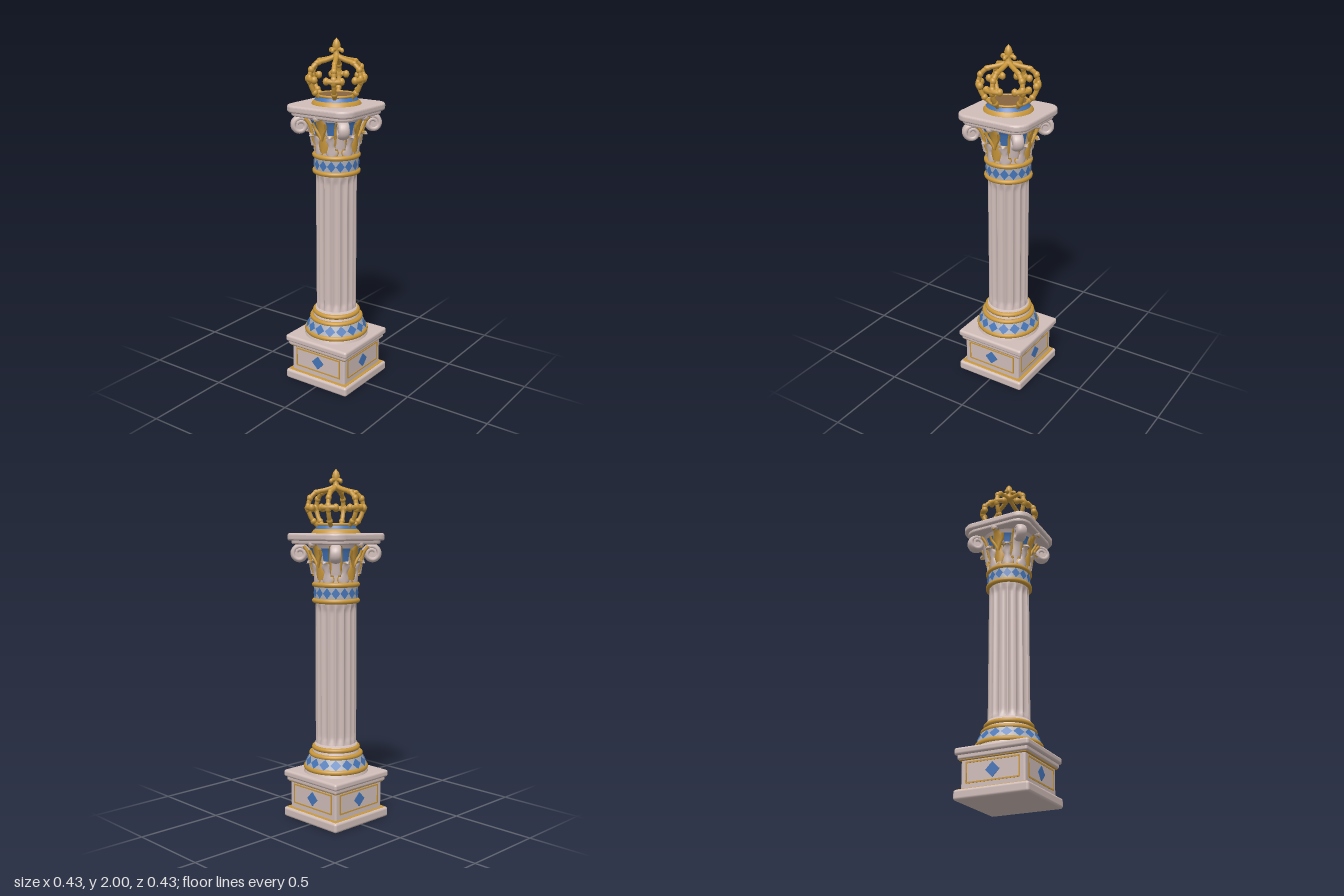
import * as THREE from 'three';
import { RoundedBoxGeometry } from 'three/addons/geometries/RoundedBoxGeometry.js';

const mat = (name, color, side = THREE.FrontSide) => {
  const m = new THREE.MeshStandardMaterial({ color, side });
  m.name = name;
  return m;
};
const V = (x, y, z = 0) => new THREE.Vector3(x, y, z);

export function createModel() {
  const stone = mat('stone', 0xd0bdb9, THREE.DoubleSide);
  const gold = mat('gold', 0xc9973a, THREE.DoubleSide);
  const blue = mat('blue enamel', 0x4475b8, THREE.DoubleSide);
  const pale = mat('pale blue enamel', 0xabaeb9);
  const brown = mat('dark bronze', 0x86643f);

  const root = new THREE.Group();
  root.name = 'column';
  const group = (name, parent = root) => {
    const g = new THREE.Group();
    g.name = name;
    parent.add(g);
    return g;
  };
  const add = (parent, name, geo, material, x = 0, y = 0, z = 0) => {
    const m = new THREE.Mesh(geo, material);
    m.name = name;
    m.position.set(x, y, z);
    parent.add(m);
    return m;
  };
  const around = (parent, name, n, offset, build) => {
    for (let i = 0; i < n; i++) {
      const g = group(name, parent);
      g.rotation.y = offset + (i / n) * Math.PI * 2;
      build(g);
    }
  };
  const lathe = (pts) => new THREE.LatheGeometry(pts.map((p) => new THREE.Vector2(...p)), 64);
  const ring = (parent, name, r, tube, y) => {
    add(parent, name, new THREE.TorusGeometry(r, tube, 12, 64), gold, 0, y).rotation.x = Math.PI / 2;
  };
  const slab = (parent, name, half, y0, y1, radius, material = stone) =>
    add(parent, name, new RoundedBoxGeometry(half * 2, y1 - y0, half * 2, 4, radius), material, 0, (y0 + y1) / 2);

  // Pedestal
  const pedestal = group('pedestal');
  slab(pedestal, 'plinthFoot', 0.217, 0, 0.057, 0.015);
  slab(pedestal, 'footGoldLine', 0.204, 0.045, 0.06, 0.004, gold);
  slab(pedestal, 'die', 0.187, 0.04, 0.235, 0.012);
  slab(pedestal, 'corniceGoldLine', 0.196, 0.211, 0.23, 0.005, gold);
  slab(pedestal, 'corniceStep', 0.204, 0.217, 0.25, 0.01);
  slab(pedestal, 'cornice', 0.217, 0.24, 0.28, 0.014);
  around(pedestal, 'pedestalPanel', 4, 0, (g) => {
    for (const s of [-1, 1]) {
      add(g, 'panelFrameSide', new THREE.BoxGeometry(0.008, 0.112, 0.006), gold, s * 0.153, 0.145, 0.187);
      add(g, 'panelFrameRail', new THREE.BoxGeometry(0.306, 0.008, 0.006), gold, 0, 0.145 + s * 0.054, 0.187);
    }
    add(g, 'panelDiamond', new THREE.CylinderGeometry(0.041, 0.041, 0.008, 4), blue, 0, 0.145, 0.187).rotation.x = Math.PI / 2;
  });

  // Band of enamel with a row of diamonds
  const enamelBand = (parent, r0, y0, r1, y1, n, w, h) => {
    add(parent, 'enamelBand', lathe([[r0, y0], [r1, y1]]), pale);
    around(parent, 'bandDiamond', n, 0, (g) => {
      const d = add(g, 'diamond', new THREE.CircleGeometry(1, 4), blue, 0, (y0 + y1) / 2, (r0 + r1) / 2 + 0.003);
      d.scale.set(w, h, 1);
      d.rotation.x = -Math.atan2(r0 - r1, y1 - y0);
    });
  };

  // Moulded base of the shaft
  const base = group('shaftBase');
  add(base, 'baseCore', lathe([[0.188, 0.275], [0.18, 0.3], [0.165, 0.33], [0.142, 0.38], [0.13, 0.41], [0.12, 0.45], [0, 0.45]]), stone);
  ring(base, 'lowerTorus', 0.17, 0.017, 0.308);
  enamelBand(base, 0.178, 0.32, 0.152, 0.378, 16, 0.031, 0.031);
  ring(base, 'middleTorus', 0.142, 0.014, 0.386);
  ring(base, 'neckTorus', 0.125, 0.014, 0.423);

  // Fluted shaft: grooves fade out near both ends
  const flutes = 16;
  const shaftGeo = new THREE.CylinderGeometry(0.115, 0.115, 0.83, flutes * 10, 40, true);
  const p = shaftGeo.attributes.position;
  for (let i = 0; i < p.count; i++) {
    const a = Math.atan2(p.getX(i), p.getZ(i));
    const groove = Math.pow(Math.abs(Math.sin((a * flutes) / 2)), 0.8);
    const fade = THREE.MathUtils.smoothstep(0.405 - Math.abs(p.getY(i)), 0, 0.04);
    const r = 0.117 - 0.014 * groove * fade;
    p.setX(i, Math.sin(a) * r);
    p.setZ(i, Math.cos(a) * r);
  }
  shaftGeo.computeVertexNormals();
  add(root, 'flutedShaft', shaftGeo, stone, 0, 0.85);

  // Collar between shaft and capital
  const collar = group('collar');
  ring(collar, 'lowerCollarRing', 0.122, 0.014, 1.27);
  enamelBand(collar, 0.124, 1.278, 0.124, 1.352, 16, 0.0245, 0.031);
  ring(collar, 'upperCollarRing', 0.122, 0.014, 1.361);

  // Capital
  const capital = group('capital');
  add(capital, 'bell', lathe([[0.112, 1.35], [0.113, 1.42], [0.12, 1.48], [0.135, 1.54], [0.165, 1.59]]), stone);
  around(capital, 'bellPanel', 8, Math.PI / 8, (g) => {
    const panel = new THREE.LatheGeometry(
      [[0.117, 1.44], [0.124, 1.48], [0.139, 1.54], [0.152, 1.565]].map((q) => new THREE.Vector2(...q)), 6, -0.17, 0.34);
    add(g, 'bluePanel', panel, blue);
  });

  // Leaf sheet following a radius/height profile, with lobed edges
  const leafGeometry = (curve, halfWidth, inset) => {
    const geo = new THREE.PlaneGeometry(2, 1, 8, 28);
    const pos = geo.attributes.position;
    for (let i = 0; i < pos.count; i++) {
      const u = pos.getX(i), v = pos.getY(i) + 0.5;
      const c = curve.getPoint(v);
      const outline = Math.sqrt(Math.max(0, 1 - v ** 6)) * (0.78 + 0.22 * Math.cos((v - 0.72) * 20));
      const a = (u * (halfWidth * outline + inset)) / c.x;
      const r = c.x + 0.01 * (1 - u * u) - inset;
      pos.setXYZ(i, Math.sin(a) * r, c.y, Math.cos(a) * r);
    }
    geo.computeVertexNormals();
    return geo;
  };
  const leafCurve = (profile) => new THREE.CatmullRomCurve3(profile.map((q) => V(...q)));
  const lowLeaf = leafCurve([[0.118, 1.37], [0.124, 1.43], [0.136, 1.475], [0.157, 1.495], [0.166, 1.48]]);
  const tallLeaf = leafCurve([[0.121, 1.39], [0.13, 1.47], [0.145, 1.54], [0.17, 1.585], [0.187, 1.59], [0.192, 1.57]]);
  const rib = (g, points, radius) =>
    add(g, 'goldRib', new THREE.TubeGeometry(new THREE.CatmullRomCurve3(points), 20, radius, 8), gold);
  const ball = new THREE.SphereGeometry(1, 18, 12);
  const blob = (parent, name, x, y, z, sx, sy, sz, material = gold) => {
    add(parent, name, ball, material, x, y, z).scale.set(sx, sy, sz);
  };
  around(capital, 'lowerLeaf', 8, Math.PI / 8, (g) => {
    add(g, 'leafFace', leafGeometry(lowLeaf, 0.034, 0), stone);
    add(g, 'leafGoldEdge', leafGeometry(lowLeaf, 0.034, 0.007), gold);
  });
  around(capital, 'faceLeaf', 4, 0, (g) => {
    add(g, 'goldLeaf', leafGeometry(tallLeaf, 0.034, 0), gold);
    blob(g, 'leafTip', 0, 1.588, 0.186, 0.022, 0.018, 0.016, stone);
    for (const s of [-1, 1]) {
      rib(g, [V(0, 1.46, 0.138), V(s * 0.018, 1.5, 0.146), V(s * 0.036, 1.53, 0.153), V(s * 0.042, 1.555, 0.163)], 0.008);
    }
  });

  // Corner scrolls: a stem that rolls into a spiral on each diagonal
  const scroll = [V(0, 1.42, 0.125), V(0, 1.5, 0.14), V(0, 1.555, 0.165)];
  for (let i = 0; i <= 14; i++) {
    const a = Math.PI * 0.6 - (i / 14) * Math.PI * 2.4;
    const r = 0.041 - 0.02 * (i / 14);
    scroll.push(V(0, 1.532 + Math.sin(a) * r, 0.203 + Math.cos(a) * r));
  }
  const scrollGeo = new THREE.TubeGeometry(new THREE.CatmullRomCurve3(scroll), 90, 0.017, 12);
  scrollGeo.scale(1.8, 1, 1);
  around(capital, 'cornerScroll', 4, Math.PI / 4, (g) => {
    add(g, 'scroll', scrollGeo, stone);
    add(g, 'scrollCore', new THREE.CylinderGeometry(0.038, 0.038, 0.046, 24), stone, 0, 1.532, 0.203).rotation.z = Math.PI / 2;
    for (const s of [-1, 1]) {
      rib(g, [V(s * 0.02, 1.41, 0.122), V(s * 0.027, 1.48, 0.138), V(s * 0.029, 1.54, 0.155), V(s * 0.027, 1.575, 0.18)], 0.009);
    }
  });

  // Abacus slabs with rounded corners
  const abacus = (name, half, corner, y0, y1, bevel) => {
    const h = half - bevel, c = corner - bevel, s = new THREE.Shape();
    s.absarc(h - c, h - c, c, 0, Math.PI / 2);
    s.absarc(c - h, h - c, c, Math.PI / 2, Math.PI);
    s.absarc(c - h, c - h, c, Math.PI, Math.PI * 1.5);
    s.absarc(h - c, c - h, c, Math.PI * 1.5, Math.PI * 2);
    const geo = new THREE.ExtrudeGeometry(s, {
      depth: y1 - y0 - bevel * 2, bevelThickness: bevel, bevelSize: bevel, bevelSegments: 4, curveSegments: 10,
    });
    add(capital, name, geo.rotateX(-Math.PI / 2), stone, 0, y0 + bevel);
  };
  abacus('abacusStep', 0.2, 0.08, 1.585, 1.62, 0.01);
  abacus('abacus', 0.216, 0.08, 1.605, 1.646, 0.013);

  // Crown
  const crown = group('crown');
  add(crown, 'crownFoot', lathe([[0.138, 1.64], [0.137, 1.65], [0.128, 1.662], [0.12, 1.669]]), gold);
  add(crown, 'crownBlueBand', lathe([[0.121, 1.668], [0.112, 1.68], [0.107, 1.692]]), blue);
  ring(crown, 'crownRim', 0.105, 0.007, 1.694);
  add(crown, 'crownFloor', new THREE.CylinderGeometry(0.102, 0.102, 0.03, 48), brown, 0, 1.68);

  const ribCurve = new THREE.CatmullRomCurve3([
    V(0.102, 1.685), V(0.138, 1.725), V(0.157, 1.78), V(0.148, 1.835), V(0.112, 1.87), V(0.065, 1.882), V(0.025, 1.895), V(0, 1.91)]);
  const ribGeo = new THREE.TubeGeometry(ribCurve, 48, 0.013, 10);
  const lobeCurve = new THREE.CatmullRomCurve3([
    V(0.143, 1.785, -0.046), V(0.157, 1.785, -0.034), V(0.162, 1.785, 0), V(0.157, 1.785, 0.034), V(0.143, 1.785, 0.046)]);
  const lobeGeo = new THREE.TubeGeometry(lobeCurve, 24, 0.0145, 10);
  around(crown, 'crownArch', 6, 0, (g) => {
    add(g, 'archRib', ribGeo, gold);
    add(g, 'archCrossbar', lobeGeo, gold);
    blob(g, 'archHeart', 0.16, 1.785, 0, 0.016, 0.03, 0.02);
    blob(g, 'archBead', 0.149, 1.837, 0, 0.017, 0.02, 0.017);
    blob(g, 'archBead', 0.11, 1.871, 0, 0.022, 0.015, 0.015);
    blob(g, 'archFoot', 0.128, 1.712, 0, 0.018, 0.018, 0.017);
    for (const s of [-1, 1]) blob(g, 'archLobe', 0.149, 1.785, s * 0.041, 0.019, 0.021, 0.018);
  });

  // Finial
  const finial = group('finial', crown);
  add(finial, 'finialBud', lathe([[0, 1.885], [0.024, 1.89], [0.026, 1.905], [0.014, 1.92], [0.018, 1.94], [0.023, 1.96], [0.015, 1.982], [0, 2]]), gold);
  around(finial, 'finialLobe', 4, 0, (g) => {
    blob(g, 'lobe', 0.026, 1.937, 0, 0.021, 0.011, 0.012);
    blob(g, 'lobeTip', 0.038, 1.932, 0, 0.01, 0.012, 0.011);
  });

  return root;
}
